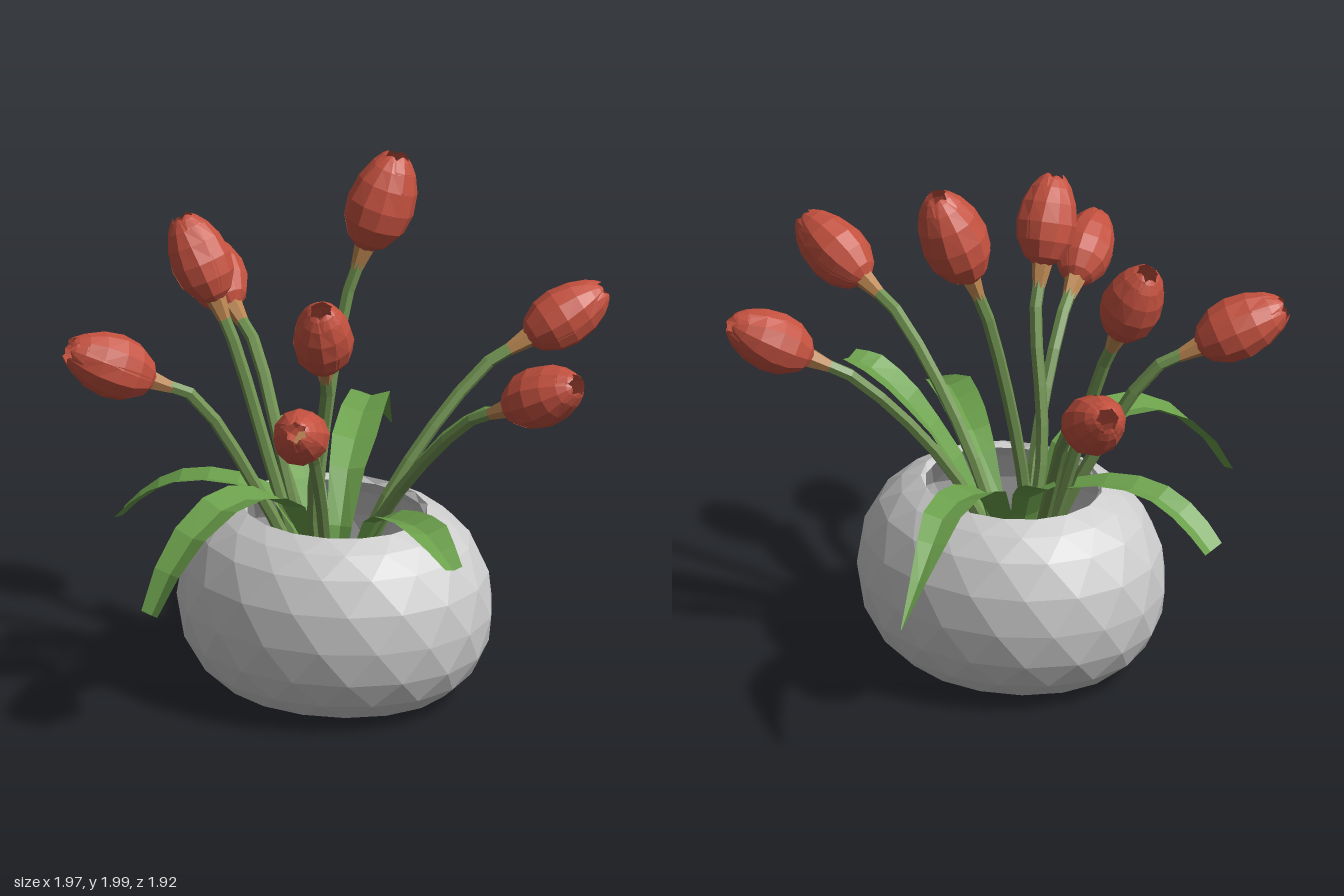
import * as THREE from 'three';

const mat = (name, color, side = THREE.FrontSide) => {
  const m = new THREE.MeshStandardMaterial({ color, side });
  m.name = name;
  return m;
};
const V = (p) => new THREE.Vector3(...p);

// Faceted normals for any geometry
function facet(geo) {
  const g = geo.index ? geo.toNonIndexed() : geo;
  g.computeVertexNormals();
  return g;
}

// Faceted surface through rows of points
function surface(rows) {
  const pos = [], idx = [], n = rows[0].length;
  rows.forEach((row) => row.forEach((p) => pos.push(p.x, p.y, p.z)));
  for (let j = 0; j < rows.length - 1; j++) {
    for (let i = 0; i < n - 1; i++) {
      const a = j * n + i, b = a + 1, d = a + n, c = d + 1;
      idx.push(a, b, d, c, d, b);
    }
  }
  const g = new THREE.BufferGeometry();
  g.setAttribute('position', new THREE.Float32BufferAttribute(pos, 3));
  g.setIndex(idx);
  return facet(g);
}

// Hollow bowl: each ring is turned half a step so the facets are triangles
function vaseGeometry() {
  const segs = 17;
  const profile = [
    [0, 0.04], [0.44, 0.04], [0.52, 0.11], [0.575, 0.21], [0.595, 0.34], [0.575, 0.48],
    [0.51, 0.6], [0.43, 0.67], [0.35, 0.71], [0.335, 0.69], [0.42, 0.62], [0.5, 0.5],
    [0.53, 0.34], [0.47, 0.16], [0.38, 0.08], [0, 0.08],
  ].map(([r, y]) => new THREE.Vector2(r, y));
  const g = new THREE.LatheGeometry(profile, segs);
  const p = g.attributes.position, v = new THREE.Vector3(), up = new THREE.Vector3(0, 1, 0);
  for (let i = 0; i < p.count; i++) {
    v.fromBufferAttribute(p, i).applyAxisAngle(up, ((i % profile.length) * Math.PI) / segs);
    p.setXYZ(i, v.x, v.y, v.z);
  }
  g.scale(1, 1, 0.875);
  return facet(g);
}

// One cupped petal of unit length: [height, radius, half angle]
function petalGeometry(scale, lift) {
  const rings = [
    [0, 0.06, 1.1], [0.1, 0.2, 1.12], [0.28, 0.305, 1.12], [0.48, 0.335, 1.1],
    [0.7, 0.3, 1.0], [0.87, 0.225, 0.85], [0.96, 0.155, 0.6], [1, 0.11, 0.15],
  ];
  return surface(rings.map(([y, r, half]) =>
    [-1, -0.5, 0, 0.5, 1].map((u) => {
      const rr = r * scale * (1 - 0.05 * u * u);
      return new THREE.Vector3(Math.sin(u * half) * rr, y * lift, Math.cos(u * half) * rr);
    })));
}

// Folded leaf blade along a path, with a width at every point
function leafGeometry(points, widths) {
  const curve = new THREE.CatmullRomCurve3(points.map(V));
  const steps = 8, up = new THREE.Vector3(0, 1, 0), rows = [];
  for (let i = 0; i <= steps; i++) {
    const t = i / steps, f = t * (widths.length - 1), k = Math.min(Math.floor(f), widths.length - 2);
    const w = THREE.MathUtils.lerp(widths[k], widths[k + 1], f - k) / 2;
    const p = curve.getPoint(t), tan = curve.getTangent(t);
    const side = tan.clone().cross(up).normalize();
    const lift = side.clone().cross(tan).multiplyScalar(w * 0.3);
    rows.push([
      p.clone().addScaledVector(side, -w).add(lift), p,
      p.clone().addScaledVector(side, w).add(lift),
    ]);
  }
  return surface(rows);
}

export function createModel() {
  const model = new THREE.Group();
  const grey = mat('vase grey', 0xcccccc);
  const red = mat('petal red', 0xc4513f, THREE.DoubleSide);
  const stemGreen = mat('stem green', 0x6f9150, THREE.DoubleSide);
  const leafGreen = mat('leaf green', 0x6ca14c, THREE.DoubleSide);
  const tan = mat('collar tan', 0xb98550);
  const add = (parent, name, geo, material) => {
    const m = new THREE.Mesh(geo, material);
    m.name = name;
    parent.add(m);
    return m;
  };

  add(model, 'vase', vaseGeometry(), grey).position.set(-0.08, 0, 0.075);

  // Tulips: stem foot, stem at the rim, flower base, flower tip
  const tulips = [
    [[-0.14, 0.012, 0.1], [-0.18, 0.72, 0.03], [-0.11, 1.62, -0.18], [-0.02, 1.98, -0.28]],
    [[-0.17, 0.012, 0.13], [0.06, 0.74, -0.08], [0.39, 1.26, -0.49], [0.6, 1.42, -0.71]],
    [[-0.19, 0.012, 0.07], [0.14, 0.74, 0.1], [0.66, 1.26, 0.12], [0.97, 1.42, 0.12]],
    [[-0.07, 0.012, 0.05], [-0.08, 0.74, 0.24], [0.07, 1.4, 0.41], [0.14, 1.7, 0.56]],
    [[-0.12, 0.012, 0.06], [0, 0.74, 0.3], [0.14, 1.22, 0.67], [0.25, 1.37, 0.93]],
    [[-0.02, 0.012, 0.05], [-0.27, 0.74, 0.25], [-0.59, 1.25, 0.51], [-0.82, 1.41, 0.74]],
    [[-0.05, 0.012, 0.09], [-0.3, 0.74, 0.11], [-0.55, 1.43, 0.12], [-0.7, 1.74, 0.12]],
    [[-0.03, 0.012, 0.12], [-0.33, 0.74, -0.01], [-0.7, 1.24, -0.26], [-0.96, 1.42, -0.4]],
  ];
  const outer = petalGeometry(1, 0.98), inner = petalGeometry(0.93, 1);
  const collar = facet(new THREE.CylinderGeometry(0.04, 0.023, 0.1, 6));
  tulips.forEach((pts) => {
    const [foot, rim, base, tip] = pts.map(V);
    const axis = tip.clone().sub(base), len = axis.length();
    axis.normalize();
    const tulip = new THREE.Group();
    tulip.name = 'tulip';
    model.add(tulip);

    const path = new THREE.CatmullRomCurve3([foot, rim, base.clone().addScaledVector(axis, -0.16), base]);
    add(tulip, 'stem', facet(new THREE.TubeGeometry(path, 10, 0.024, 6)), stemGreen);

    const flower = new THREE.Group();
    flower.name = 'flower';
    flower.position.copy(base);
    flower.quaternion.setFromUnitVectors(new THREE.Vector3(0, 1, 0), axis);
    tulip.add(flower);
    add(flower, 'collar', collar, tan).position.y = -0.025;
    for (let i = 0; i < 6; i++) {
      const petal = add(flower, i % 2 ? 'innerPetal' : 'outerPetal', i % 2 ? inner : outer, red);
      petal.rotation.y = (i * Math.PI) / 3;
      petal.scale.setScalar(len);
    }
  });

  // Leaves arching over the rim
  const leaves = [
    [[[-0.1, 0.3, 0.06], [-0.14, 0.72, -0.1], [-0.21, 0.83, -0.3], [-0.3, 0.87, -0.55],
      [-0.37, 0.79, -0.72], [-0.44, 0.6, -0.95]], [0.05, 0.12, 0.17, 0.15, 0.1, 0.005]],
    [[[-0.05, 0.3, 0.07], [0.14, 0.74, 0], [0.29, 0.97, -0.08], [0.42, 1.08, -0.13],
      [0.51, 1.1, -0.15]], [0.05, 0.13, 0.16, 0.15, 0.1]],
    [[[-0.05, 0.3, 0.1], [0.14, 0.72, 0.16], [0.3, 0.79, 0.25], [0.47, 0.81, 0.36],
      [0.64, 0.74, 0.46]], [0.04, 0.1, 0.15, 0.16, 0.07]],
    [[[-0.1, 0.3, 0.12], [-0.14, 0.73, 0.26], [-0.18, 0.84, 0.42], [-0.23, 0.86, 0.6],
      [-0.3, 0.74, 0.8], [-0.35, 0.53, 0.94]], [0.05, 0.13, 0.18, 0.19, 0.16, 0.09]],
    [[[-0.12, 0.3, 0.09], [-0.28, 0.71, 0.13], [-0.45, 0.77, 0.19], [-0.62, 0.76, 0.24],
      [-0.75, 0.69, 0.27], [-0.85, 0.59, 0.29]], [0.04, 0.09, 0.13, 0.14, 0.14, 0.12]],
    [[[-0.11, 0.3, 0.07], [-0.25, 0.72, -0.03], [-0.37, 0.84, -0.11], [-0.47, 0.89, -0.17]],
      [0.04, 0.12, 0.12, 0.06]],
  ];
  leaves.forEach(([pts, widths]) => add(model, 'leaf', leafGeometry(pts, widths), leafGreen));

  return model;
}
